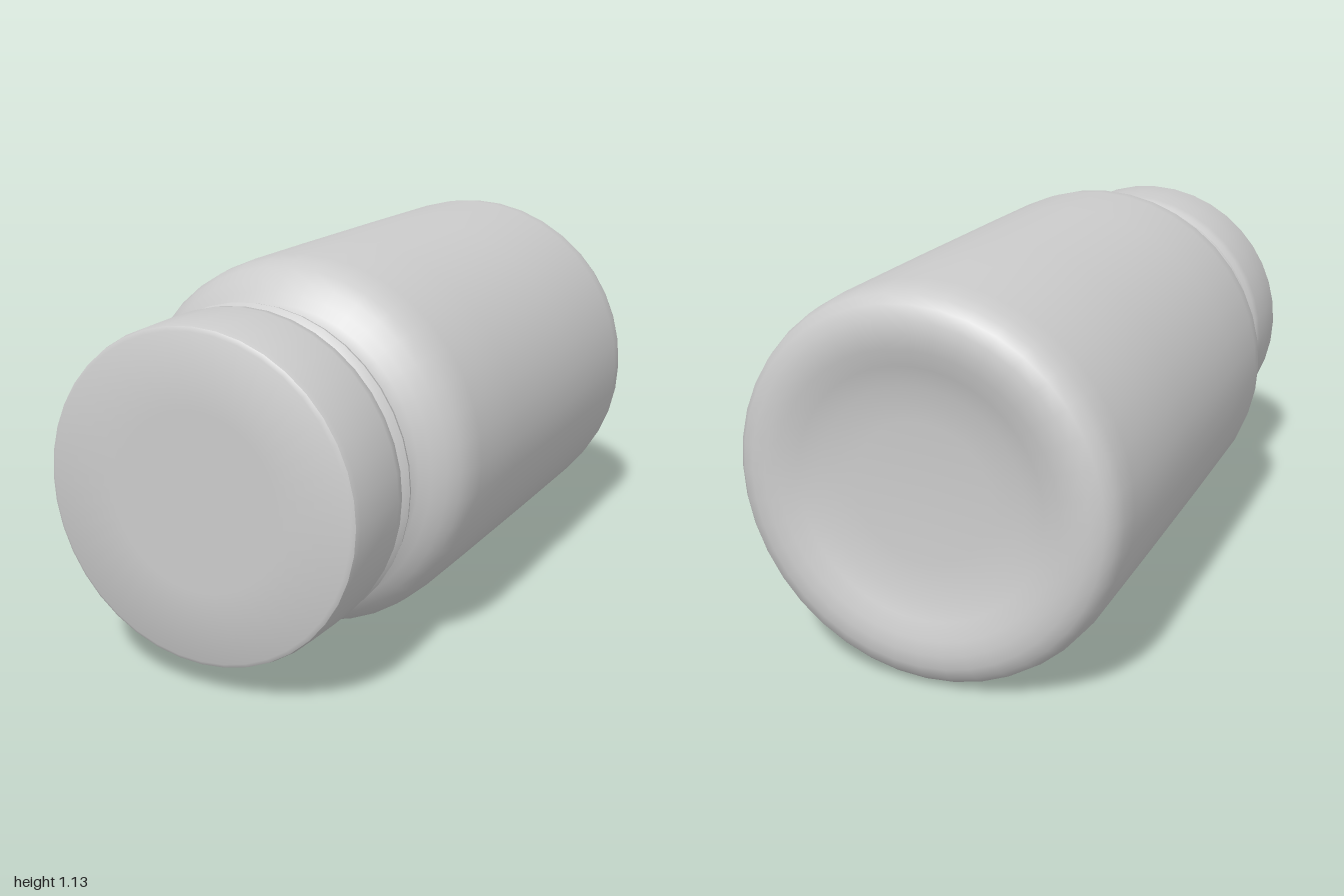
import * as THREE from 'three';
import { toCreasedNormals } from 'three/addons/utils/BufferGeometryUtils.js';

const AXIS_Y = 0.565;

// Turns a [radius, z] profile around the bottle's lying axis
function turned(name, profile, material, crease) {
  const points = profile.map(([r, z]) => new THREE.Vector2(r, z));
  const geometry = new THREE.LatheGeometry(points, 40).rotateX(Math.PI / 2);
  const mesh = new THREE.Mesh(toCreasedNormals(geometry, crease), material);
  mesh.name = name;
  mesh.position.y = AXIS_Y;
  return mesh;
}

export function createModel() {
  const model = new THREE.Group();
  model.name = 'bottle';
  const material = new THREE.MeshStandardMaterial({ color: 0xcccccc });

  // Recessed base, rounded heel, straight wall, shoulder and neck
  model.add(turned('bottleBody', [
    [0, -0.94], [0.2, -0.945], [0.3, -0.955], [0.36, -0.975], [0.41, -0.992],
    [0.45, -0.998], [0.49, -0.995], [0.525, -0.98], [0.547, -0.955],
    [0.558, -0.92], [0.563, -0.86], [0.562, -0.4], [0.559, 0.1], [0.556, 0.38],
    [0.55, 0.44], [0.535, 0.48], [0.51, 0.515], [0.475, 0.545], [0.445, 0.565],
    [0.425, 0.585], [0.417, 0.61], [0.417, 0.66],
  ], material, 0.9));

  // Screw cap with a tamper ring, groove and flat front
  const cap = turned('cap', [
    [0.41, 0.638], [0.425, 0.645], [0.452, 0.655], [0.468, 0.67], [0.471, 0.682],
    [0.462, 0.695], [0.453, 0.705], [0.458, 0.717], [0.47, 0.73], [0.474, 0.76],
    [0.474, 0.86], [0.471, 0.975], [0.467, 0.992], [0.455, 1], [0.25, 1], [0, 1],
  ], material, 0.7);
  cap.position.x = 0.003;
  cap.position.y = 0.562;
  model.add(cap);

  return model;
}
